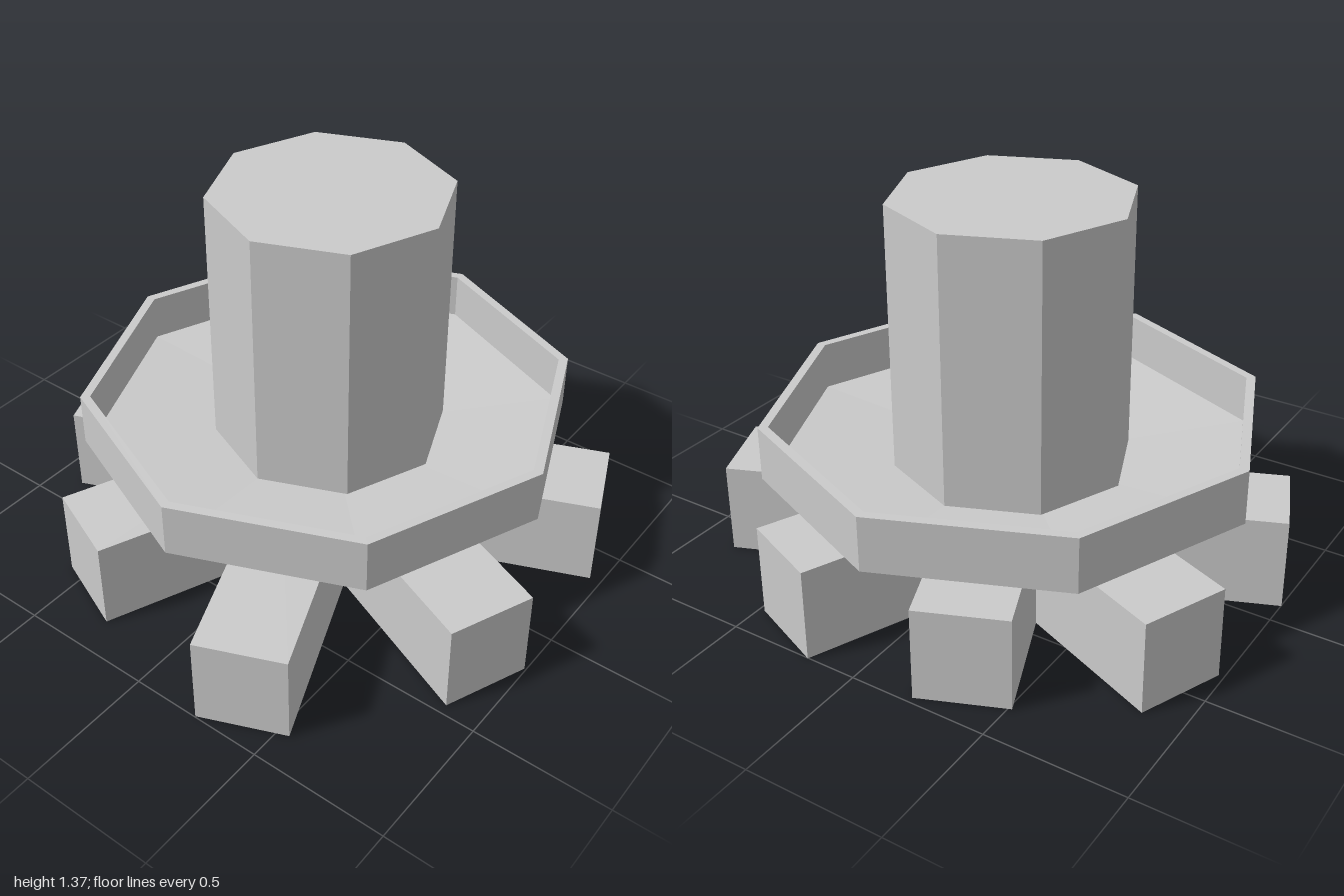
import * as THREE from 'three';

export function createModel() {
  const model = new THREE.Group();
  const material = new THREE.MeshStandardMaterial({ color: 0xcccccc, flatShading: true });

  function add(name, geometry, x, y, z, parent = model) {
    const mesh = new THREE.Mesh(geometry, material);
    mesh.name = name;
    mesh.position.set(x, y, z);
    parent.add(mesh);
    return mesh;
  }

  // Star base: eight arms, 45 degrees apart, slightly uneven around the middle
  const base = new THREE.Group();
  base.name = 'starBase';
  model.add(base);
  const armLength = 1, armWidth = 0.318, armHeight = 0.333;
  const armGeometry = new THREE.BoxGeometry(armLength, armHeight, armWidth);
  const armEnds = [
    [0.933, 0.316], [0.396, 0.936], [-0.425, 0.807], [-0.941, 0.241],
    [-0.92, -0.508], [-0.366, -0.917], [0.332, -0.941], [0.898, -0.497],
  ];
  armEnds.forEach(([x, z], i) => {
    const angle = Math.PI / 8 + (i * Math.PI) / 4;
    const arm = add('arm', armGeometry,
      x - Math.cos(angle) * armLength / 2, armHeight / 2, z - Math.sin(angle) * armLength / 2, base);
    arm.rotation.y = -angle;
  });

  // Octagonal tray with a raised rim and a shallow sloping floor
  const trayProfile = [
    [0.4, 0.384], [0.885, 0.408], [0.885, 0.605],
    [0.85, 0.605], [0.85, 0.43], [0.4, 0.406],
  ].map(([r, y]) => new THREE.Vector2(r, y));
  add('tray', new THREE.LatheGeometry(trayProfile, 8), -0.036, 0, -0.094);

  // Octagonal post standing on the base, through the tray
  const postBottom = armHeight, postTop = 1.365;
  add('post', new THREE.CylinderGeometry(0.422, 0.422, postTop - postBottom, 8),
    -0.036, (postTop + postBottom) / 2, -0.106);

  return model;
}
